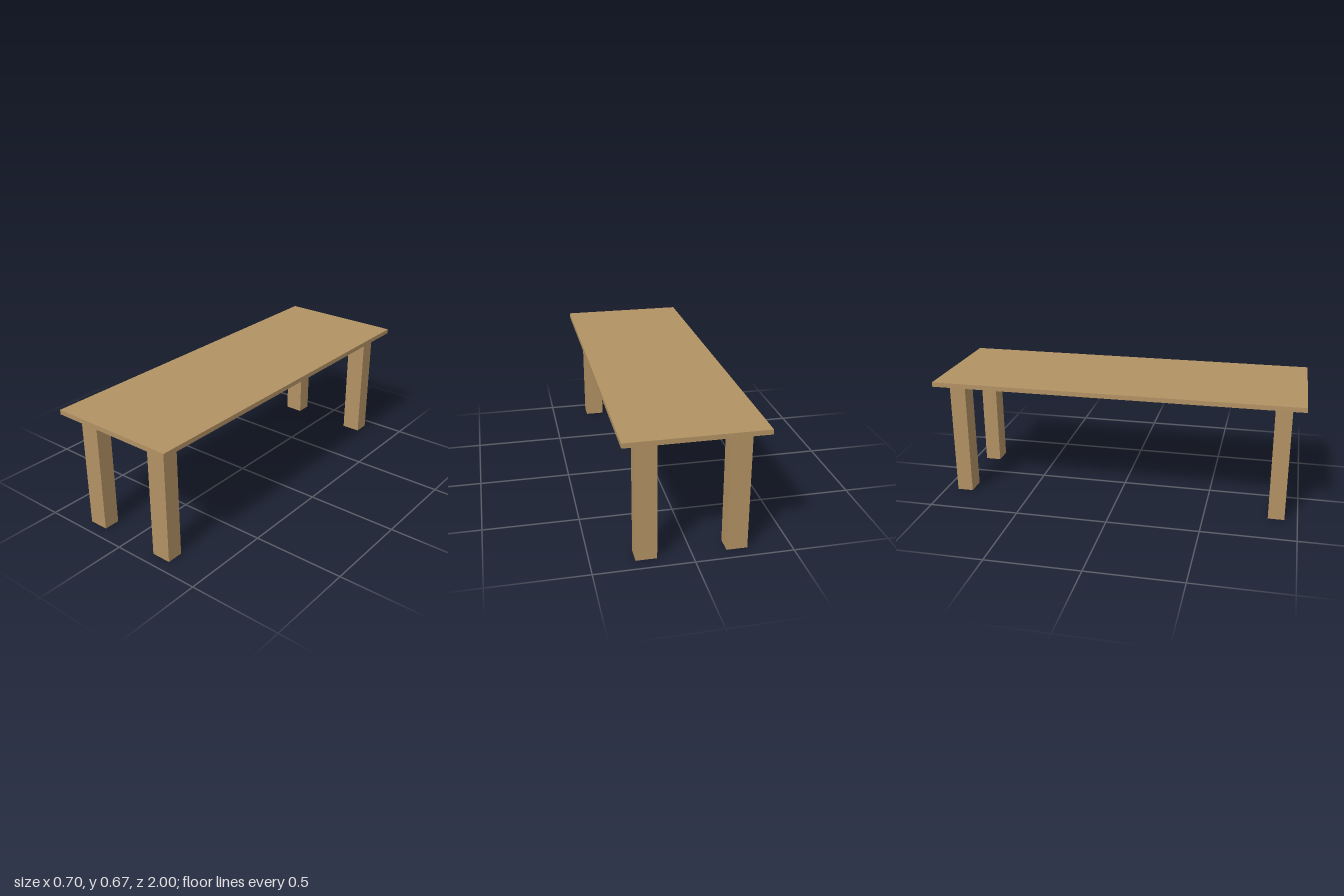
import * as THREE from 'three';

export function createModel() {
  const model = new THREE.Group();
  model.name = 'table';

  const wood = new THREE.MeshStandardMaterial({ color: 0xb39264 });
  wood.name = 'light wood';

  const legHeight = 0.643;
  const topThickness = 0.025;

  // Thin rectangular slab resting on the legs
  const tableTop = new THREE.Mesh(new THREE.BoxGeometry(0.704, topThickness, 2), wood);
  tableTop.name = 'tableTop';
  tableTop.position.y = legHeight + topThickness / 2;
  model.add(tableTop);

  // Four square-cut legs, set in from the corners
  const legGeometry = new THREE.BoxGeometry(0.107, legHeight, 0.088);
  for (const [end, z] of [['front', 0.887], ['back', -0.887]]) {
    for (const [side, x] of [['Left', 0.2275], ['Right', -0.2275]]) {
      const leg = new THREE.Mesh(legGeometry, wood);
      leg.name = `${end}${side}Leg`;
      leg.position.set(x, legHeight / 2, z);
      model.add(leg);
    }
  }

  return model;
}
